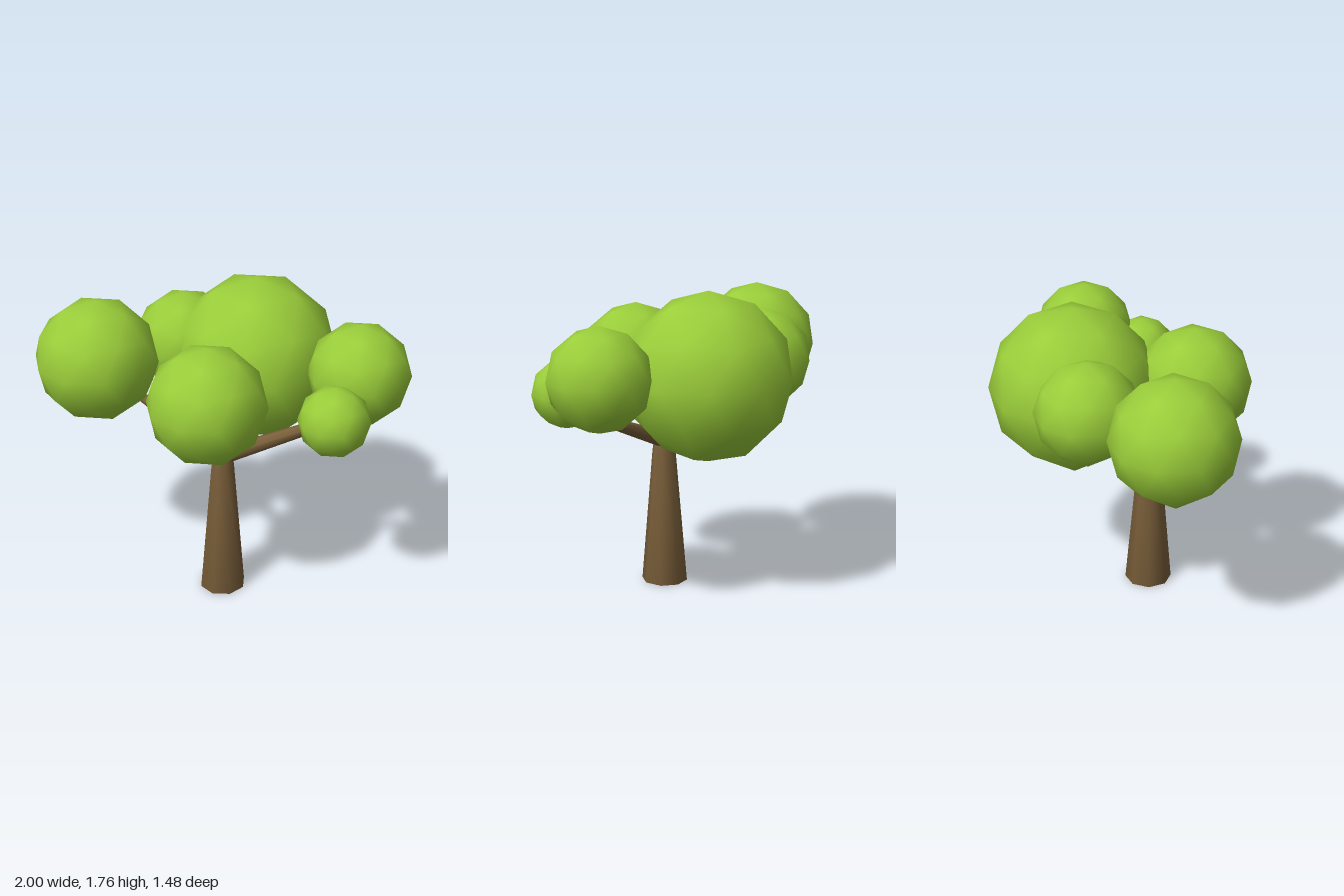
import * as THREE from 'three';

const bark = new THREE.MeshStandardMaterial({ color: 0x7a5f3a });
const leaf = new THREE.MeshStandardMaterial({ color: 0x9acd3a });

// Tapered limb running from one point to another
function limb(name, from, to, r0, r1) {
  const a = new THREE.Vector3(...from);
  const b = new THREE.Vector3(...to);
  const dir = b.clone().sub(a);
  const mesh = new THREE.Mesh(new THREE.CylinderGeometry(r1, r0, dir.length(), 8), bark);
  mesh.name = name;
  mesh.position.copy(a).add(b).multiplyScalar(0.5);
  mesh.quaternion.setFromUnitVectors(new THREE.Vector3(0, 1, 0), dir.normalize());
  return mesh;
}

export function createModel() {
  const tree = new THREE.Group();
  tree.name = 'tree';

  // Trunk: tapering shaft that closes inside the fork
  const profile = [[0, 0], [0.137, 0], [0.07, 0.78], [0.06, 0.85], [0.045, 0.91], [0, 0.93]]
    .map(([r, y]) => new THREE.Vector2(r, y));
  const trunk = new THREE.Mesh(new THREE.LatheGeometry(profile, 8), bark);
  trunk.name = 'trunk';
  trunk.position.set(0.07, 0, 0.165);
  trunk.scale.x = 0.96;
  tree.add(trunk);

  // Branches rising from the fork, two of them with a side twig
  const fork = [0.07, 0.85, 0.16];
  tree.add(
    limb('rightBranch', fork, [-0.53, 1.06, 0.05], 0.05, 0.026),
    limb('rightTwig', [-0.45, 1.03, 0.065], [-0.33, 1.15, -0.06], 0.03, 0.026),
    limb('leftBranch', fork, [0.68, 1.11, -0.09], 0.05, 0.028),
    limb('leftTwig', [0.59, 1.06, -0.03], [0.69, 1.09, 0.08], 0.028, 0.022),
    limb('frontBranch', fork, [0.09, 1.06, 0.36], 0.05, 0.028),
    limb('backBranch', fork, [0.1, 1.1, -0.06], 0.05, 0.035),
  );

  // Leaf clumps: rounded icospheres standing on a vertex
  const ball = new THREE.IcosahedronGeometry(1, 1);
  ball.rotateZ(-Math.atan(2 / (1 + Math.sqrt(5))));
  const clumps = [
    ['backFoliage', 0.07, 1.29, -0.267, 0.475],
    ['frontFoliage', 0.095, 1.29, 0.41, 0.33],
    ['rightFoliage', -0.667, 1.34, 0.25, 0.35],
    ['rightBackFoliage', -0.34, 1.34, -0.195, 0.29],
    ['leftFoliage', 0.725, 1.342, -0.195, 0.288],
    ['leftSmallFoliage', 0.72, 1.21, 0.15, 0.197],
  ];
  for (const [name, x, y, z, r] of clumps) {
    const clump = new THREE.Mesh(ball, leaf);
    clump.name = name;
    clump.position.set(x, y, z);
    clump.scale.setScalar(r);
    tree.add(clump);
  }
  return tree;
}
